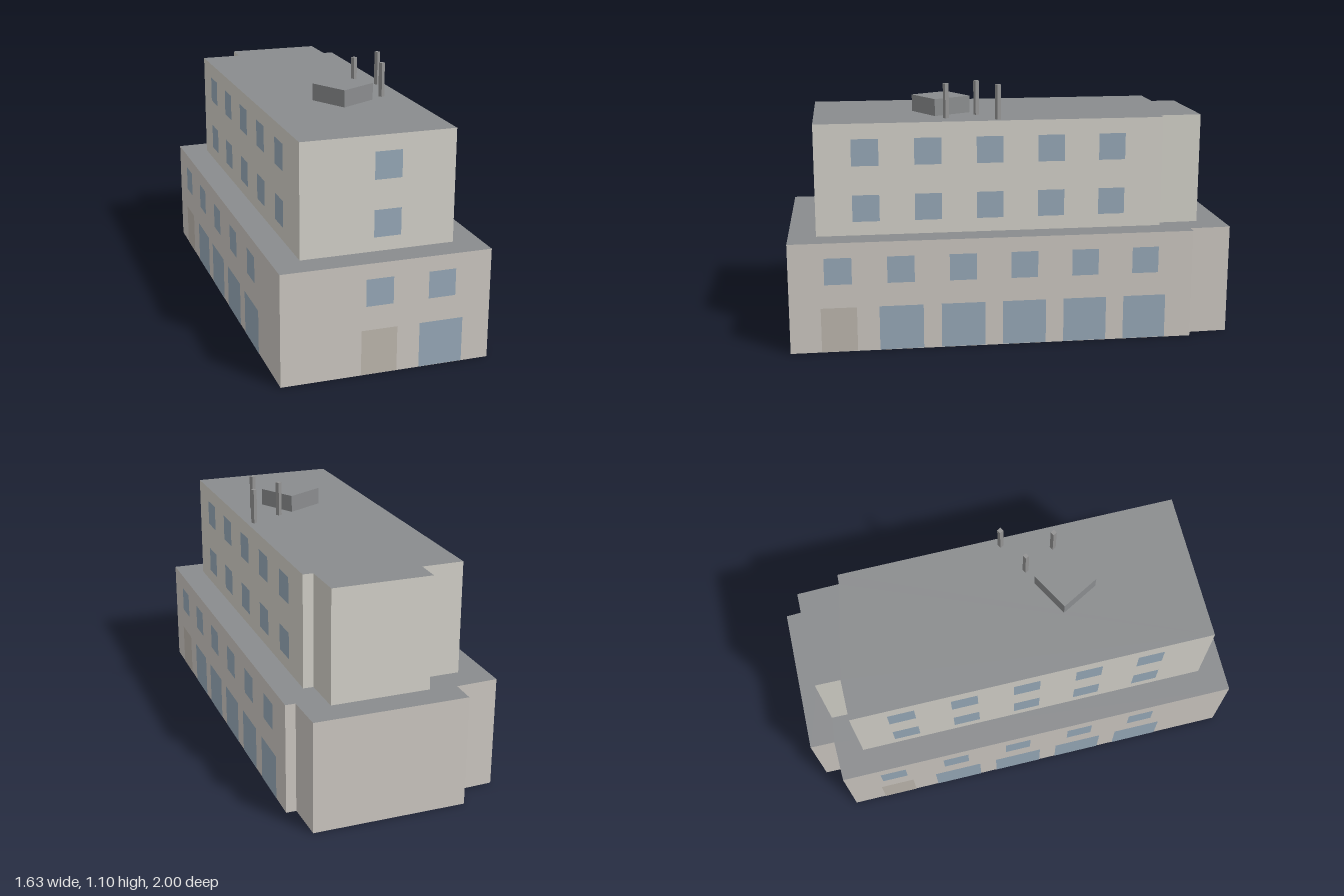
import * as THREE from 'three';

const mat = (color) => new THREE.MeshStandardMaterial({ color });

export function createModel() {
  const model = new THREE.Group();
  const roof = mat(0x8a8c8e), glass = mat(0x96a8b7), door = mat(0xbcb6ad);
  const lowerWall = mat(0xcbc6c0), upperWall = mat(0xd2d0c8), metal = mat(0x939393);

  // Footprints as [x, z], running anticlockwise seen from above
  const lower = [[-0.817, 0.57], [-0.054, 1], [0.772, -0.506], [0.735, -0.527],
    [0.815, -0.685], [0.254, -1], [0.201, -0.907], [0.042, -0.988]];
  const upper = [[-0.662, 0.527], [-0.097, 0.841], [0.614, -0.459], [0.577, -0.481],
    [0.66, -0.64], [0.296, -0.842], [0.243, -0.749], [0.087, -0.834]];

  // A storey block extruded upwards from its footprint
  function block(name, outline, y, height, wall) {
    const shape = new THREE.Shape(outline.map(([x, z]) => new THREE.Vector2(x, -z)));
    const geo = new THREE.ExtrudeGeometry(shape, { depth: height, bevelEnabled: false });
    geo.rotateX(-Math.PI / 2);
    const mesh = new THREE.Mesh(geo, [roof, wall]);
    mesh.name = name;
    mesh.position.y = y;
    model.add(mesh);
  }
  block('lowerStoreys', lower, 0, 0.472, lowerWall);
  block('upperStoreys', upper, 0.472, 0.476, upperWall);

  // A flat panel on wall i of a footprint, s along the wall from its start
  function panel(name, outline, i, s, y, w, h, material) {
    const [ax, az] = outline[i];
    const [bx, bz] = outline[(i + 1) % outline.length];
    const len = Math.hypot(bx - ax, bz - az);
    const dx = (bx - ax) / len, dz = (bz - az) / len, out = 0.002;
    const mesh = new THREE.Mesh(new THREE.PlaneGeometry(w, h), material);
    mesh.name = name;
    mesh.position.set(ax + dx * s - dz * out, y, az + dz * s + dx * out);
    mesh.rotation.y = Math.atan2(-dz, dx);
    model.add(mesh);
  }

  // Lower block: a door and shop windows with a row of small windows above
  // [wall, first centre, spacing, count, shop window width]
  for (const [wall, start, step, count, shopWidth] of [
    [0, 0.405, 0.262, 2, 0.185], [1, 0.205, 0.261, 6, 0.185], [7, 0.218, 0.288, 5, 0.212]]) {
    for (let k = 0; k < count; k++) {
      const s = start + k * step;
      panel('window', lower, wall, s, 0.351, 0.114, 0.114, glass);
      if (k === 0) panel('door', lower, wall, s, 0.0975, 0.15, 0.191, door);
      else panel('shopWindow', lower, wall, s, 0.0975, shopWidth, 0.191, glass);
    }
  }

  // Upper block: two rows of windows
  for (const [wall, start, step, count] of [
    [0, 0.363, 0, 1], [1, 0.211, 0.263, 5], [7, 0.207, 0.27, 5]]) {
    for (const y of [0.588, 0.826])
      for (let k = 0; k < count; k++)
        panel('window', upper, wall, start + k * step, y, 0.114, 0.114, glass);
  }

  // Rooftop plant box and masts
  function roofBox(name, x, z, w, h, d, material) {
    const mesh = new THREE.Mesh(new THREE.BoxGeometry(w, h, d), material);
    mesh.name = name;
    mesh.position.set(x, 0.948 + h / 2, z);
    model.add(mesh);
  }
  roofBox('plantBox', -0.073, 0.222, 0.182, 0.073, 0.182, roof);
  for (const [x, z] of [[0.088, 0.145], [0.246, 0.145], [0.088, 0.303]])
    roofBox('mast', x, z, 0.018, 0.148, 0.018, metal);

  return model;
}
